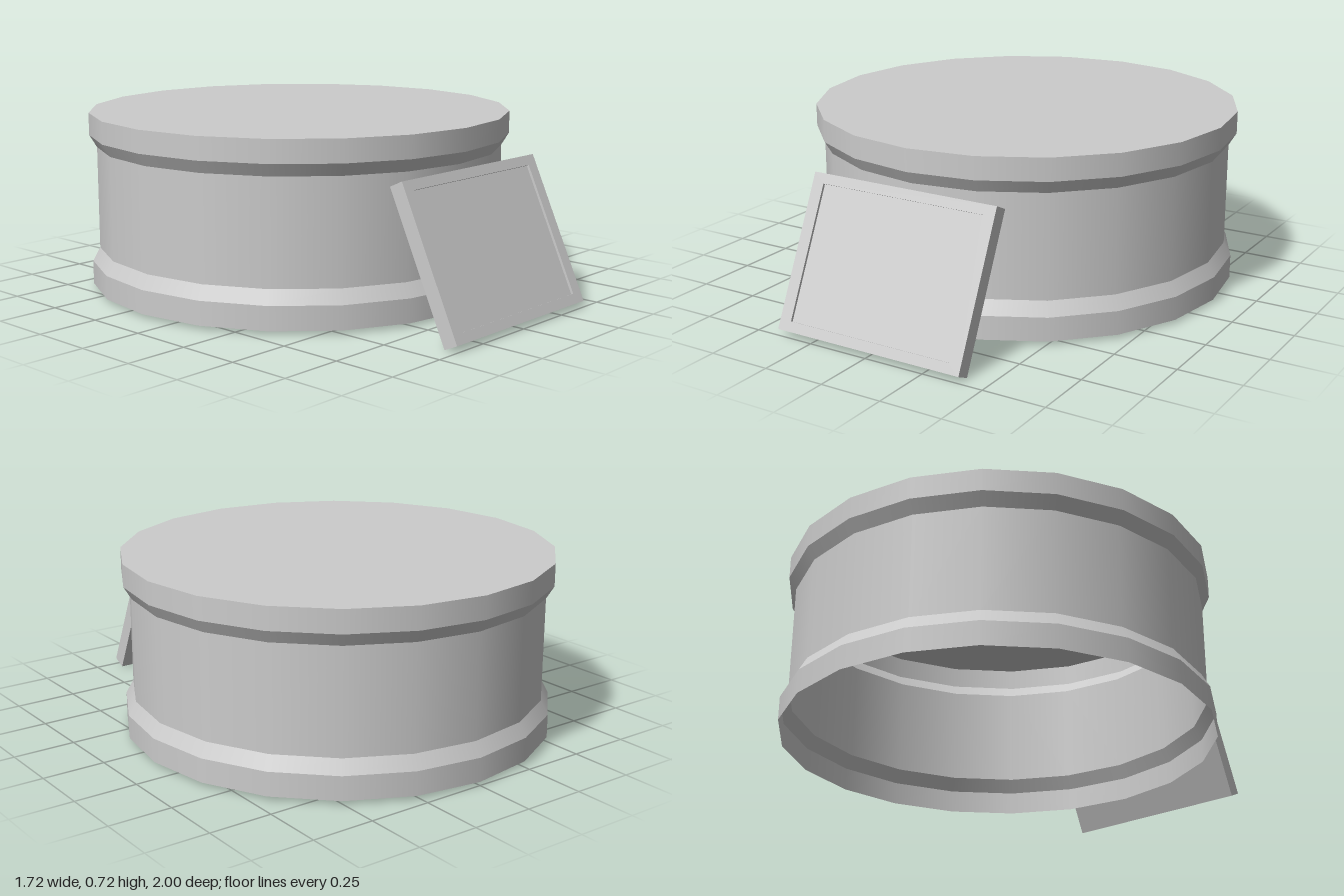
import * as THREE from 'three';

export function createModel() {
  const model = new THREE.Group();
  const material = new THREE.MeshStandardMaterial({ color: 0xcccccc, side: THREE.DoubleSide });
  const add = (parent, name, geometry) => {
    const mesh = new THREE.Mesh(geometry, material);
    mesh.name = name;
    parent.add(mesh);
    return mesh;
  };

  // Drum: thin shell open at the bottom, one smooth band per profile step
  const drum = new THREE.Group();
  drum.name = 'drum';
  drum.position.z = -0.14;
  model.add(drum);
  const sides = 20;
  const profile = [[0.86, 0.015], [0.86, 0.11], [0.83, 0.165], [0.83, 0.58], [0.86, 0.63], [0.86, 0.72]];
  const names = ['lowerRim', 'lowerTaper', 'wall', 'upperTaper', 'upperRim'];
  names.forEach((name, i) => {
    const [r0, y0] = profile[i];
    const [r1, y1] = profile[i + 1];
    const band = new THREE.CylinderGeometry(r1, r0, y1 - y0, sides, 1, true);
    add(drum, name, band.translate(0, (y0 + y1) / 2, 0));
  });

  // Flat lid closing the top
  const lid = add(drum, 'lid', new THREE.CircleGeometry(0.86, sides).rotateX(-Math.PI / 2));
  lid.position.y = 0.72;

  // Panel leaning against the front of the drum
  const panel = new THREE.Group();
  panel.name = 'leaningPanel';
  panel.position.set(0, 0.288, 0.845);
  panel.rotation.x = -THREE.MathUtils.degToRad(25);
  model.add(panel);

  const width = 0.806, height = 0.606, thickness = 0.06, recess = 0.01;
  const rect = (target, w, h) => {
    target.moveTo(-w / 2, -h / 2);
    target.lineTo(w / 2, -h / 2);
    target.lineTo(w / 2, h / 2);
    target.lineTo(-w / 2, h / 2);
    target.closePath();
    return target;
  };

  // Backing board
  const board = add(panel, 'panelBoard', new THREE.BoxGeometry(width, height, thickness - recess));
  board.position.z = -recess / 2;

  // Raised border around the shallow recess
  const border = rect(new THREE.Shape(), width, height);
  border.holes.push(rect(new THREE.Path(), 0.706, 0.528));
  const frame = add(panel, 'panelBorder',
    new THREE.ExtrudeGeometry(border, { depth: recess, bevelEnabled: false }));
  frame.position.z = thickness / 2 - recess;

  return model;
}
